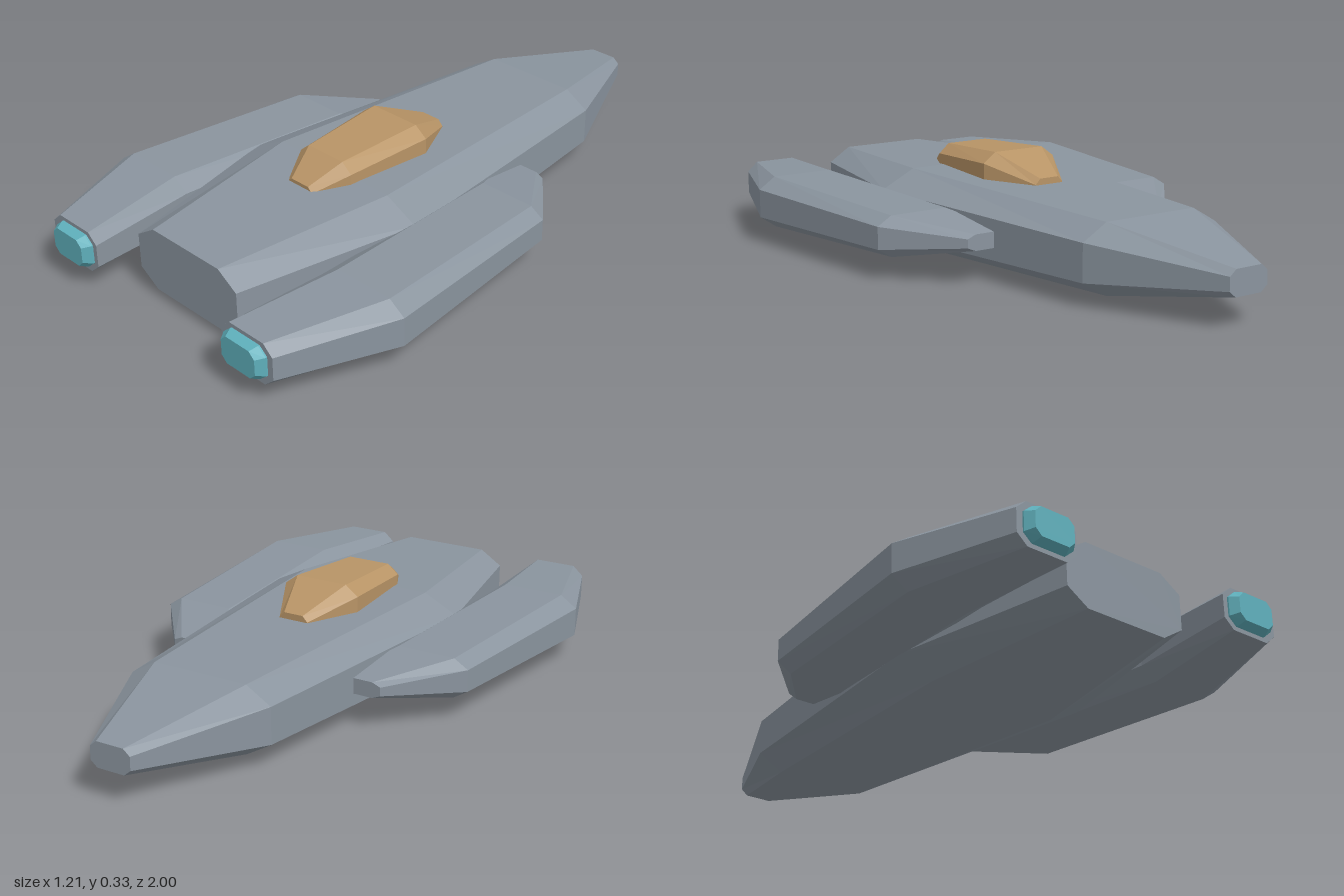
import * as THREE from 'three';

// Octagonal cross-section: z, centre x, half width, bottom, top, chamfer across, chamfer up
function octagon([z, cx, hw, y0, y1, cw, ch]) {
  const l = cx - hw, r = cx + hw;
  return [
    [r, y0 + ch, z], [r, y1 - ch, z], [r - cw, y1, z], [l + cw, y1, z],
    [l, y1 - ch, z], [l, y0 + ch, z], [l + cw, y0, z], [r - cw, y0, z],
  ];
}

// Joins sections listed from tail-most -z to +z into a closed faceted solid
function loft(name, sections, material) {
  const rings = sections.map(octagon), n = 8, pos = [];
  const tri = (a, b, c) => pos.push(...a, ...b, ...c);
  for (let i = 0; i < rings.length - 1; i++) {
    for (let k = 0; k < n; k++) {
      const j = (k + 1) % n, p = rings[i], q = rings[i + 1];
      tri(p[k], p[j], q[j]);
      tri(p[k], q[j], q[k]);
    }
  }
  const first = rings[0], last = rings[rings.length - 1];
  for (let k = 1; k < n - 1; k++) {
    tri(last[0], last[k], last[k + 1]);
    tri(first[0], first[k + 1], first[k]);
  }
  const geo = new THREE.BufferGeometry();
  geo.setAttribute('position', new THREE.Float32BufferAttribute(pos, 3));
  geo.computeVertexNormals();
  const mesh = new THREE.Mesh(geo, material);
  mesh.name = name;
  return mesh;
}

function flat(name, color) {
  const m = new THREE.MeshStandardMaterial({ color, flatShading: true });
  m.name = name;
  return m;
}

export function createModel() {
  const grey = flat('hullGrey', 0x8a949e);
  const amber = flat('canopyAmber', 0xb89466);
  const teal = flat('engineTeal', 0x5fb0bc);
  const ship = new THREE.Group();
  ship.name = 'spaceship';

  // Central hull, nose at -z
  ship.add(loft('hull', [
    [-1, 0, 0.067, 0.09, 0.167, 0.022, 0.018],
    [-0.6, 0, 0.24, 0.023, 0.233, 0.082, 0.048],
    [0.3, 0, 0.337, 0, 0.25, 0.112, 0.056],
    [0.865, 0, 0.213, 0.026, 0.228, 0.072, 0.046],
  ], grey));

  // Cockpit canopy, sunk into the hull
  ship.add(loft('canopy', [
    [-0.12, 0, 0.05, 0.18, 0.262, 0.017, 0.018],
    [0.04, 0, 0.131, 0.18, 0.326, 0.043, 0.032],
    [0.33, 0, 0.107, 0.18, 0.311, 0.036, 0.03],
    [0.435, 0, 0.052, 0.18, 0.256, 0.017, 0.016],
  ], amber));

  // Engine pods and their exhausts
  for (const s of [1, -1]) {
    const side = s > 0 ? 'left' : 'right';
    ship.add(loft(side + 'EnginePod', [
      [-0.23, s * 0.29, 0.08, 0.103, 0.152, 0.027, 0.011],
      [-0.02, s * 0.405, 0.14, 0.065, 0.19, 0.046, 0.028],
      [0.62, s * 0.4525, 0.153, 0.045, 0.209, 0.054, 0.037],
      [0.97, s * 0.375, 0.101, 0.06, 0.192, 0.034, 0.03],
    ], grey));
    ship.add(loft(side + 'Exhaust', [
      [0.96, s * 0.373, 0.083, 0.073, 0.18, 0.028, 0.024],
      [0.975, s * 0.373, 0.083, 0.073, 0.18, 0.028, 0.024],
      [1, s * 0.373, 0.066, 0.084, 0.171, 0.02, 0.019],
    ], teal));
  }
  return ship;
}
